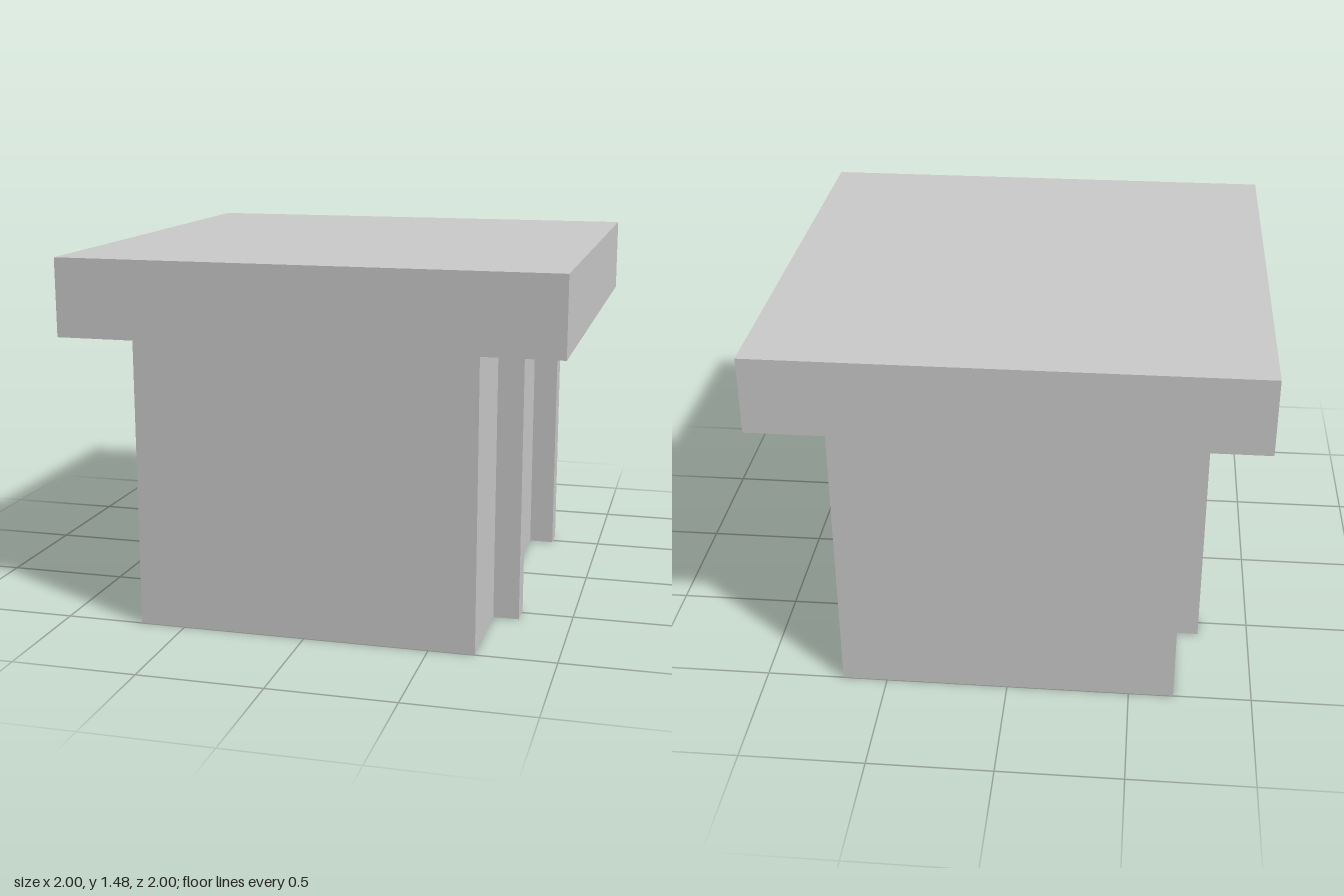
import * as THREE from 'three';

const material = new THREE.MeshStandardMaterial({ color: 0xcccccc, flatShading: true });

export function createModel() {
  const model = new THREE.Group();
  model.name = 'ribbedBlock';

  const height = 1.475, slabBottom = 1.16, bodyHalf = 0.683, ribOuter = 0.788;

  // T-shaped profile: body and overhanging top slab in one piece
  const profile = new THREE.Shape([
    [-bodyHalf, 0], [bodyHalf, 0], [bodyHalf, slabBottom], [1, slabBottom],
    [1, height], [-1, height], [-1, slabBottom], [-bodyHalf, slabBottom],
  ].map(([x, y]) => new THREE.Vector2(x, y)));
  const bodyGeometry = new THREE.ExtrudeGeometry(profile, { depth: 2, bevelEnabled: false });
  bodyGeometry.translate(0, 0, -1);
  const body = new THREE.Mesh(bodyGeometry, material);
  body.name = 'bodyWithTopSlab';
  model.add(body);

  // Two upright ribs on each side, under the overhang
  const ribGeometry = new THREE.BoxGeometry(ribOuter - bodyHalf, slabBottom, 0.106);
  for (const [side, sx] of [['left', 1], ['right', -1]]) {
    for (const [end, sz] of [['Front', 1], ['Back', -1]]) {
      const rib = new THREE.Mesh(ribGeometry, material);
      rib.name = `${side}${end}Rib`;
      rib.position.set(sx * (bodyHalf + ribOuter) / 2, slabBottom / 2, sz * 0.527);
      model.add(rib);
    }
  }

  return model;
}
